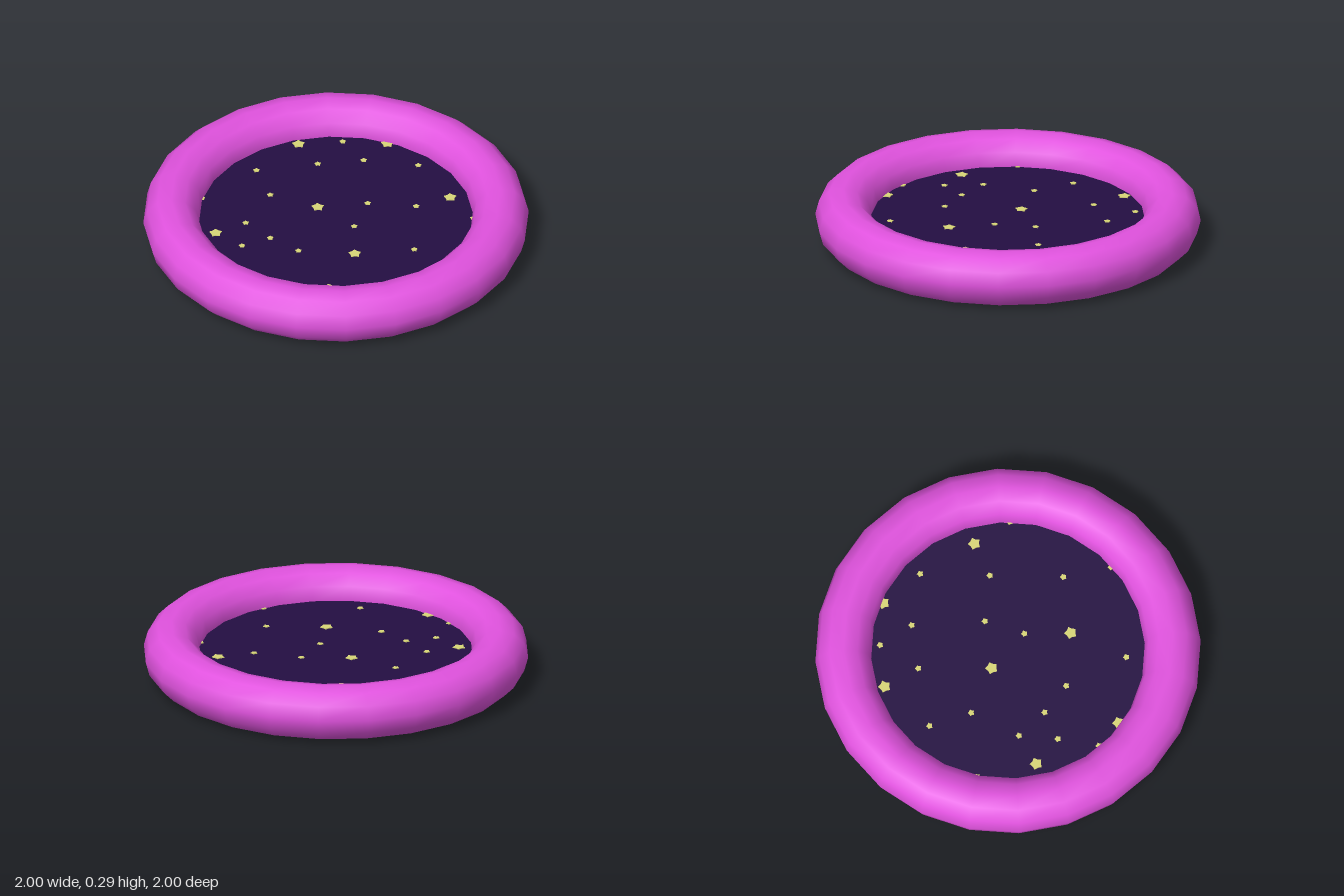
import * as THREE from 'three';

const MID = 0.145; // half the ring thickness

// Five-pointed outline with one tip pointing towards +y of the shape
function starShape(outer) {
  const shape = new THREE.Shape();
  for (let i = 0; i < 10; i++) {
    const r = i % 2 ? outer * 0.7 : outer;
    const a = Math.PI / 2 + (i * Math.PI) / 5;
    if (i === 0) shape.moveTo(r * Math.cos(a), r * Math.sin(a));
    else shape.lineTo(r * Math.cos(a), r * Math.sin(a));
  }
  shape.closePath();
  return shape;
}

// Thin star plate that shows on both faces of the disc
function starGeometry(outer) {
  const depth = 0.009;
  const geo = new THREE.ExtrudeGeometry(starShape(outer), { depth, bevelEnabled: false });
  geo.translate(0, 0, -depth / 2);
  geo.rotateX(-Math.PI / 2);
  return geo;
}

export function createModel() {
  const group = new THREE.Group();
  group.name = 'starryPortal';

  const pink = new THREE.MeshStandardMaterial({ color: 0xe052de });
  pink.name = 'orchidPink';
  const night = new THREE.MeshStandardMaterial({ color: 0x230e42, side: THREE.DoubleSide });
  night.name = 'nightPurple';
  const yellow = new THREE.MeshStandardMaterial({ color: 0xd8d677 });
  yellow.name = 'paleYellow';

  // Outer ring
  const ring = new THREE.Mesh(new THREE.TorusGeometry(1 - MID, MID, 12, 24), pink);
  ring.name = 'ring';
  ring.rotation.x = -Math.PI / 2;
  ring.position.y = MID;
  group.add(ring);

  // Night sky disc spanning the opening
  const disc = new THREE.Mesh(new THREE.CircleGeometry(0.73, 48), night);
  disc.name = 'skyDisc';
  disc.rotation.x = -Math.PI / 2;
  disc.position.y = MID;
  group.add(disc);

  // Stars as [x, z] positions on the disc
  const bigStars = [
    [-0.16, -0.65], [0.3, -0.63], [0.6, -0.14], [-0.09, -0.09],
    [-0.63, 0.11], [0.08, 0.33], [-0.43, 0.55],
  ];
  const smallStars = [
    [0.07, -0.66], [-0.07, -0.47], [0.17, -0.49], [0.45, -0.43], [-0.39, -0.43],
    [-0.33, -0.21], [0.17, -0.11], [0.42, -0.07], [-0.47, 0.03], [0.09, 0.09],
    [-0.35, 0.17], [-0.5, 0.23], [-0.21, 0.29], [0.39, 0.31], [-0.07, 0.61],
    [0.43, 0.56], [-0.55, 0.44], [-0.685, -0.2], [0.71, 0.05],
  ];
  const stars = new THREE.Group();
  stars.name = 'stars';
  stars.position.y = MID;
  for (const [name, places, size] of [['bigStar', bigStars, 0.034], ['smallStar', smallStars, 0.018]]) {
    const geo = starGeometry(size);
    for (const [x, z] of places) {
      const star = new THREE.Mesh(geo, yellow);
      star.name = name;
      star.position.set(x, 0, z);
      stars.add(star);
    }
  }
  group.add(stars);

  return group;
}
